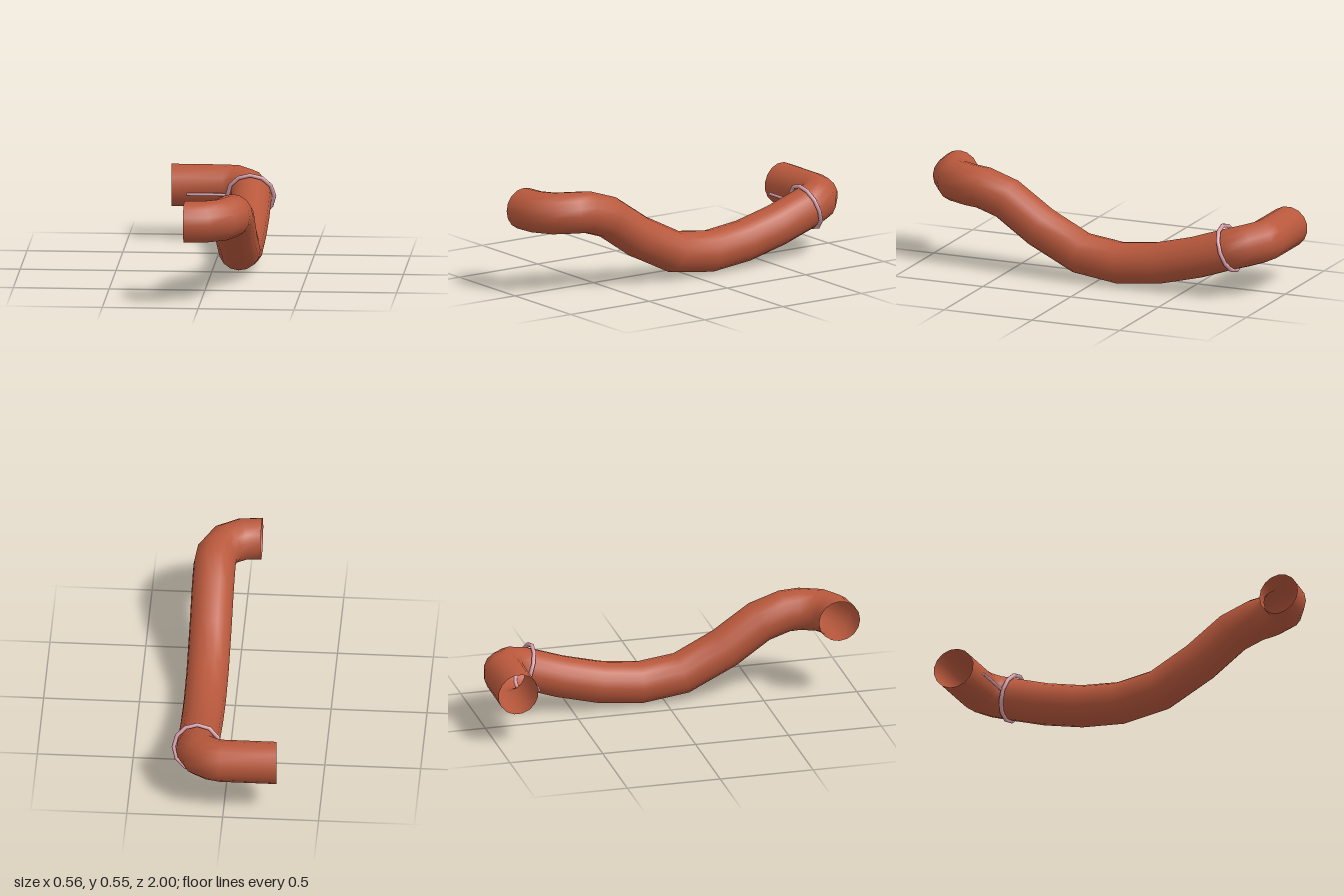
import * as THREE from 'three';

const V = (x, y, z) => new THREE.Vector3(x, y, z);
const RADIUS = 0.11, SIDES = 16;

// Open tube with one ring per path point, each ring square to the local bend
function sweepTube(path, startDir, endDir) {
  const pos = [], index = [];
  const normal = V(0, 1, 0);
  path.forEach((p, i) => {
    const before = i > 0 ? p.clone().sub(path[i - 1]).normalize() : startDir;
    const after = i < path.length - 1 ? path[i + 1].clone().sub(p).normalize() : endDir;
    const dir = i === 0 ? startDir : i === path.length - 1 ? endDir : before.clone().add(after);
    const t = dir.clone().normalize();
    normal.addScaledVector(t, -normal.dot(t)).normalize();
    const side = t.clone().cross(normal);
    for (let k = 0; k < SIDES; k++) {
      const a = (k / SIDES) * Math.PI * 2;
      const v = p.clone()
        .addScaledVector(normal, Math.cos(a) * RADIUS)
        .addScaledVector(side, Math.sin(a) * RADIUS);
      pos.push(v.x, v.y, v.z);
      if (i < path.length - 1) {
        const a0 = i * SIDES + k, a1 = i * SIDES + ((k + 1) % SIDES);
        index.push(a0, a1, a0 + SIDES, a1, a1 + SIDES, a0 + SIDES);
      }
    }
  });
  const geo = new THREE.BufferGeometry();
  geo.setAttribute('position', new THREE.Float32BufferAttribute(pos, 3));
  geo.setIndex(index);
  geo.computeVertexNormals();
  return geo;
}

export function createModel() {
  const group = new THREE.Group();
  const rubber = new THREE.MeshStandardMaterial({ color: 0xb8583c, side: THREE.DoubleSide });
  const metal = new THREE.MeshStandardMaterial({ color: 0xd9a0aa });
  const add = (name, geo, mat) => {
    const mesh = new THREE.Mesh(geo, mat);
    mesh.name = name;
    group.add(mesh);
    return mesh;
  };

  // Hose: front stub, front elbow, S-shaped run, rear elbow, rear stub
  const path = [
    V(-0.08, 0.442, 0.887), V(0.02, 0.442, 0.877), V(0.102, 0.442, 0.825), V(0.145, 0.441, 0.73),
    V(0.151, 0.435, 0.65), V(0.151, 0.39, 0.515), V(0.151, 0.26, 0.325), V(0.151, 0.145, 0.095),
    V(0.151, 0.115, -0.13), V(0.151, 0.14, -0.35), V(0.151, 0.193, -0.56), V(0.15, 0.26, -0.755),
    V(0.122, 0.28, -0.835), V(0.067, 0.288, -0.88), V(0.01, 0.288, -0.892), V(-0.273, 0.288, -0.893),
  ];
  add('hose', sweepTube(path, V(1, 0, 0), V(-1, 0, 0.07)), rubber);

  // Clamp ring around the hose near the rear elbow
  const ring = add('clampRing', new THREE.TorusGeometry(0.122, 0.011, 8, 12), metal);
  ring.position.set(0.15, 0.265, -0.75);
  ring.rotation.x = 0.34;

  // Pin reaching sideways from the clamp
  const pin = add('clampPin', new THREE.CylinderGeometry(0.008, 0.008, 0.215, 10), metal);
  pin.rotation.z = Math.PI / 2;
  pin.position.set(-0.0775, 0.265, -0.759);

  return group;
}
